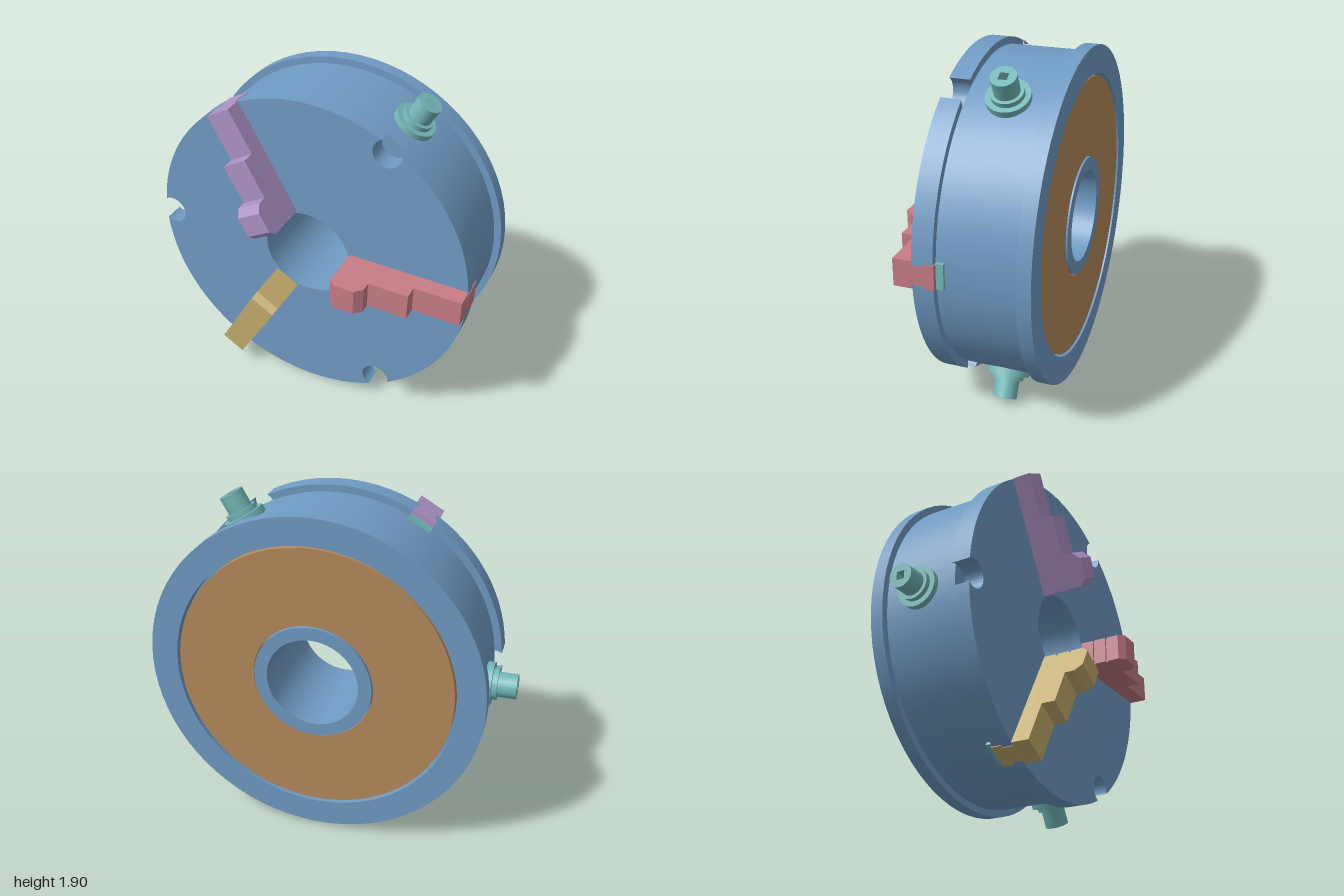
import * as THREE from 'three';
import { toCreasedNormals } from 'three/addons/utils/BufferGeometryUtils.js';

const R = 0.937, BORE = 0.257, FRONT = 0.17, STEP = 0.058;
const THIRD = Math.PI * 2 / 3;

const material = (name, color) => {
  const m = new THREE.MeshStandardMaterial({ color });
  m.name = name;
  return m;
};

const add = (parent, name, geometry, mat) => {
  const mesh = new THREE.Mesh(geometry, mat);
  mesh.name = name;
  parent.add(mesh);
  return mesh;
};

// Closed (radius, z) profile turned around the z axis
const turned = (profile) => {
  const pts = [...profile, profile[0]].map(([r, z]) => new THREE.Vector2(r, z));
  return toCreasedNormals(new THREE.LatheGeometry(pts, 72).rotateX(Math.PI / 2), 0.5);
};

// Front flange with a round notch in front of each pinion
function flangeGeometry() {
  const d = 0.89, r = 0.08;
  const phi = Math.acos((R * R + d * d - r * r) / (2 * R * d));
  const psi = Math.atan2(R * Math.sin(phi), R * Math.cos(phi) - d);
  const shape = new THREE.Shape();
  for (let i = 0; i < 3; i++) {
    const a = Math.PI / 3 + i * THIRD;
    shape.absarc(0, 0, R, a - THIRD + phi, a - phi, false);
    shape.absarc(d * Math.cos(a), d * Math.sin(a), r, a - psi, a + psi, true);
  }
  shape.holes.push(new THREE.Path().absarc(0, 0, BORE, 0, Math.PI * 2, true));
  const g = new THREE.ExtrudeGeometry(shape, { depth: FRONT - STEP, bevelEnabled: false, curveSegments: 28 });
  return toCreasedNormals(g.translate(0, 0, STEP), 0.5);
}

// Stepped jaw, extruded across its width; the gripping end has small grooves
function jawGeometry() {
  const w = 0.15, inner = 0.258;
  const pts = [
    [inner, FRONT], [0.938, FRONT], [0.938, 0.27], [0.673, 0.27], [0.673, 0.345],
    [0.448, 0.345], [0.448, 0.4], [0.408, 0.44], [inner + 0.033, 0.44], [inner, 0.405],
  ];
  for (const z of [0.33, 0.25]) {
    pts.push([inner, z + 0.006], [inner + 0.012, z + 0.006], [inner + 0.012, z - 0.006], [inner, z - 0.006]);
  }
  const shape = new THREE.Shape(pts.map(([x, y]) => new THREE.Vector2(x, y)));
  const g = new THREE.ExtrudeGeometry(shape, { depth: w, bevelEnabled: false });
  return g.rotateX(Math.PI / 2).translate(0, w / 2, 0);
}

// Box along the radius, from r0 to r1 and z0 to z1
const bar = (r0, r1, width, z0, z1) =>
  new THREE.BoxGeometry(r1 - r0, width, z1 - z0).translate((r0 + r1) / 2, 0, (z0 + z1) / 2);

// Cylinder along the radius
const disc = (r, x0, x1) =>
  new THREE.CylinderGeometry(r, r, x1 - x0, 32).rotateZ(-Math.PI / 2).translate((x0 + x1) / 2, 0, 0);

// Pinion stem with a square key socket
function stemGeometry(x0, x1) {
  const s = 0.023;
  const shape = new THREE.Shape().absarc(0, 0, 0.067, 0, Math.PI * 2, false);
  shape.holes.push(new THREE.Path([[-s, -s], [-s, s], [s, s], [s, -s]].map(([x, y]) => new THREE.Vector2(x, y))));
  const g = new THREE.ExtrudeGeometry(shape, { depth: x1 - x0, bevelEnabled: false, curveSegments: 32 });
  return toCreasedNormals(g.rotateY(Math.PI / 2).translate(x0, 0, 0), 0.5);
}

export function createModel() {
  const blue = material('bodyBlue', 0x709bc4);
  const teal = material('pinionTeal', 0x74b8b8);
  const brown = material('backPlateBrown', 0xb58a5c);
  const jawColours = [
    material('jawRed', 0xc67c86),
    material('jawPurple', 0xae93c6),
    material('jawYellow', 0xc2ac6a),
  ];

  const model = new THREE.Group();
  model.name = 'threeJawChuck';
  const chuck = new THREE.Group();
  chuck.name = 'chuck';
  chuck.position.set(0.058, 0.953, 0);
  model.add(chuck);

  // Body with waist, rear flange and an annular recess in the back
  add(chuck, 'body', turned([
    [BORE, -0.44], [0.33, -0.44], [0.33, -0.37], [0.785, -0.37], [0.785, -0.44],
    [R, -0.44], [R, -0.365], [0.898, -0.365], [0.898, STEP], [BORE, STEP],
  ]), blue);
  add(chuck, 'frontFlange', flangeGeometry(), blue);

  // Cover plate sitting in the recess
  add(chuck, 'backPlate', turned([
    [0.336, -0.432], [0.772, -0.432], [0.772, -0.371], [0.336, -0.371],
  ]), brown);

  // Jaws with their T-shaped guides
  const jawShape = jawGeometry();
  jawColours.forEach((colour, i) => {
    const jaw = new THREE.Group();
    jaw.name = 'jaw' + (i + 1);
    jaw.rotation.z = i * THIRD;
    add(jaw, 'steppedJaw', jawShape, colour);
    add(jaw, 'guideNeck', bar(0.4, 0.939, 0.105, 0.105, FRONT), colour);
    add(jaw, 'guideFoot', bar(0.4, 0.939, 0.135, 0.052, 0.11), colour);
    add(jaw, 'guideTeeth', bar(0.4, 0.915, 0.14, 0.012, 0.052), teal);
    chuck.add(jaw);
  });

  // Key pinions around the waist
  const parts = [
    ['pinionSeat', disc(0.115, 0.86, 0.928)],
    ['pinionCollar', disc(0.086, 0.92, 0.956)],
    ['pinionStem', stemGeometry(0.956, 1.057)],
  ];
  for (let i = 0; i < 3; i++) {
    const pinion = new THREE.Group();
    pinion.name = 'pinion' + (i + 1);
    pinion.rotation.z = Math.PI / 3 + i * THIRD;
    pinion.position.z = -0.16;
    parts.forEach(([name, geometry]) => add(pinion, name, geometry, teal));
    chuck.add(pinion);
  }
  return model;
}
